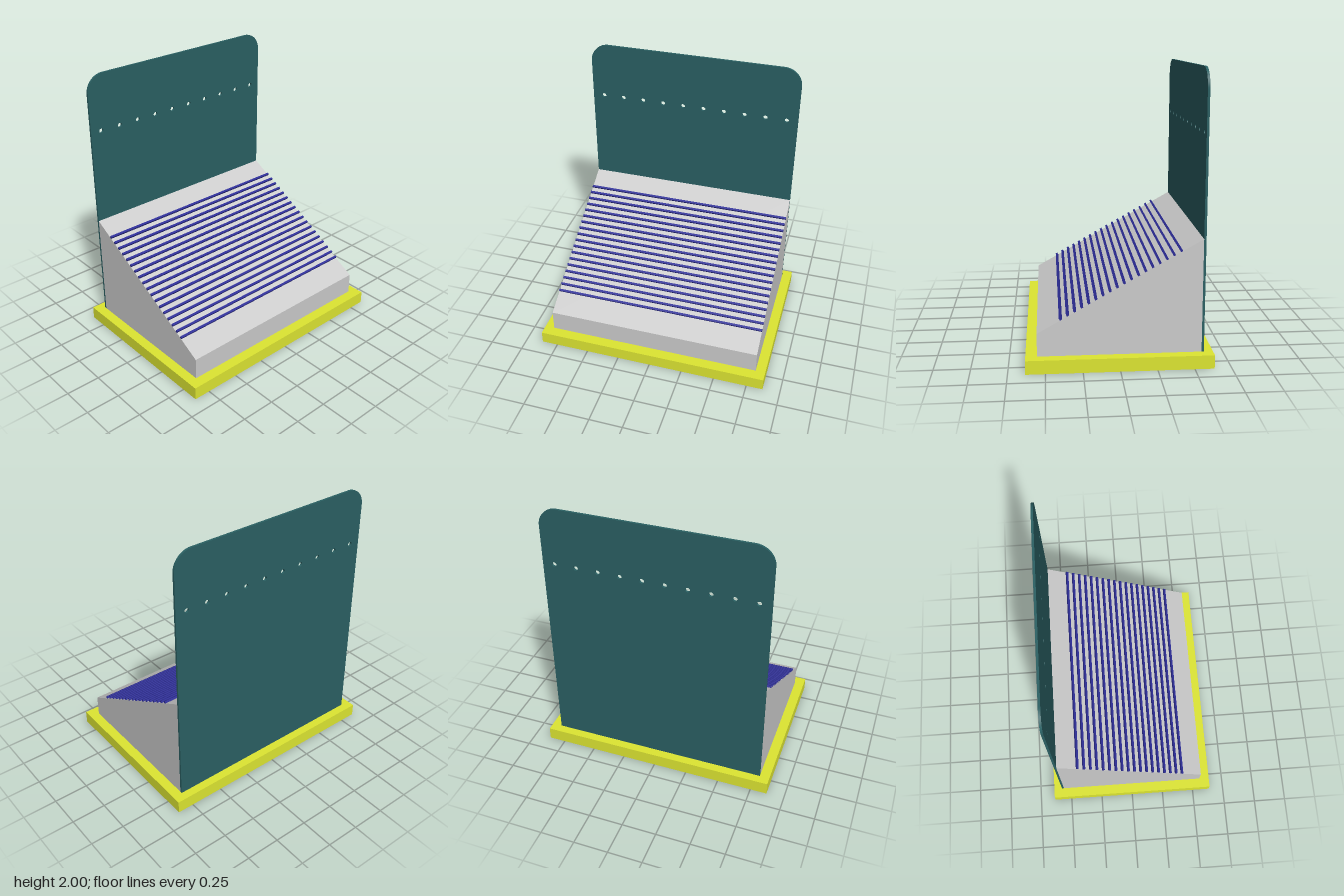
import * as THREE from 'three';

const BASE_TOP = 0.095, HALF_W = 0.8, DEPTH = 0.555;
const FRONT_Y = 0.255, BACK_Y = 0.88;

function material(color) {
  return new THREE.MeshStandardMaterial({ color });
}

function addMesh(parent, name, geometry, mat) {
  const mesh = new THREE.Mesh(geometry, mat);
  mesh.name = name;
  parent.add(mesh);
  return mesh;
}

// Wedge side profile, extruded across the width
function wedgeGeometry() {
  const profile = new THREE.Shape([
    new THREE.Vector2(-DEPTH, BASE_TOP),
    new THREE.Vector2(DEPTH, BASE_TOP),
    new THREE.Vector2(DEPTH, BACK_Y),
    new THREE.Vector2(-DEPTH, FRONT_Y),
  ]);
  const geo = new THREE.ExtrudeGeometry(profile, { depth: 2 * HALF_W, bevelEnabled: false });
  return geo.translate(0, 0, -HALF_W).rotateY(Math.PI / 2);
}

// Upright panel with rounded top corners and a row of holes
function panelGeometry(thickness) {
  const r = 0.135, top = 2;
  const shape = new THREE.Shape();
  shape.moveTo(-HALF_W, BASE_TOP);
  shape.lineTo(HALF_W, BASE_TOP);
  shape.lineTo(HALF_W, top - r);
  shape.absarc(HALF_W - r, top - r, r, 0, Math.PI / 2, false);
  shape.lineTo(-HALF_W + r, top);
  shape.absarc(-HALF_W + r, top - r, r, Math.PI / 2, Math.PI, false);
  shape.lineTo(-HALF_W, BASE_TOP);
  for (let i = 0; i < 10; i++) {
    const hole = new THREE.Path();
    hole.absarc((i - 4.5) * 0.159, 1.58, 0.017, 0, Math.PI * 2, true);
    shape.holes.push(hole);
  }
  return new THREE.ExtrudeGeometry(shape, { depth: thickness, bevelEnabled: false, curveSegments: 16 });
}

export function createModel() {
  const model = new THREE.Group();
  model.name = 'displayStand';

  // Base slab
  const base = addMesh(model, 'base', new THREE.BoxGeometry(1.744, BASE_TOP, 1.266), material(0xdde632));
  base.position.y = BASE_TOP / 2;

  // Sloped body
  addMesh(model, 'wedge', wedgeGeometry(), material(0xcccccc));

  // Back panel
  const thickness = 0.016;
  const panel = addMesh(model, 'backPanel', panelGeometry(thickness), material(0x2a6063));
  panel.position.z = -DEPTH - thickness;

  // Square ribs lying on the slope
  const ribs = new THREE.Group();
  ribs.name = 'ribs';
  model.add(ribs);
  const size = 0.016, count = 18;
  const slope = (BACK_Y - FRONT_Y) / (2 * DEPTH), angle = Math.atan(slope);
  const ribGeometry = new THREE.BoxGeometry(2 * HALF_W, size, size);
  const ribMaterial = material(0x2c2c96);
  for (let i = 0; i < count; i++) {
    const z = 0.392 - i * 0.0472;
    const y = FRONT_Y + (DEPTH - z) * slope;
    const rib = addMesh(ribs, 'rib', ribGeometry, ribMaterial);
    rib.position.set(0, y + Math.cos(angle) * size / 2, z + Math.sin(angle) * size / 2);
    rib.rotation.x = angle;
  }
  return model;
}
